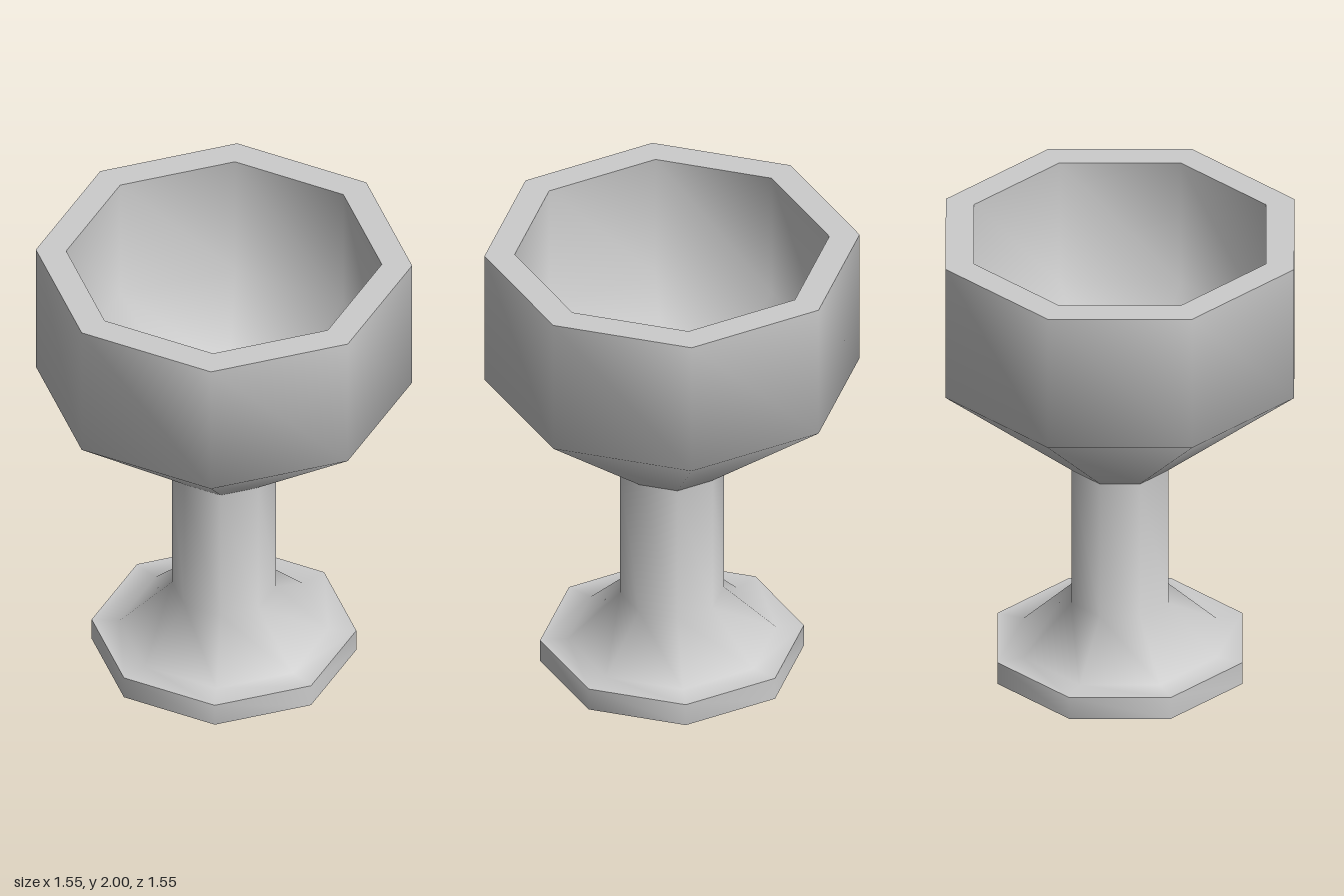
import * as THREE from 'three';
import { mergeVertices } from 'three/addons/utils/BufferGeometryUtils.js';

const SIDES = 8;

// Each profile runs from the underside, up the outside, and down the inside;
// separate profiles keep the edges between them sharp.
const PROFILES = {
  footUnderside: [[0, 0.05], [0.43, 0.05], [0.43, 0], [0.545, 0]],
  footEdge: [[0.545, 0], [0.545, 0.1]],
  footAndStem: [[0.545, 0.1], [0.43, 0.1], [0.215, 0.31], [0.215, 0.935]],
  bowlOutside: [[0.215, 0.935], [0.775, 1.395], [0.775, 2]],
  bowlRim: [[0.775, 2], [0.65, 2]],
  bowlInside: [[0.65, 2], [0.65, 1.44], [0.33, 1.18], [0, 1.18]],
};

// Octagonal turned part, corners on the x and z axes, with normals
// weighted by face area
function turned(profile) {
  const points = profile.map(([r, y]) => new THREE.Vector2(r, y));
  const lathe = new THREE.LatheGeometry(points, SIDES);
  lathe.deleteAttribute('uv');
  lathe.deleteAttribute('normal');
  const geometry = mergeVertices(lathe);
  geometry.computeVertexNormals();
  return geometry;
}

export function createModel() {
  const goblet = new THREE.Group();
  goblet.name = 'goblet';
  const material = new THREE.MeshStandardMaterial({ color: 0xcccccc });

  for (const [name, profile] of Object.entries(PROFILES)) {
    const mesh = new THREE.Mesh(turned(profile), material);
    mesh.name = name;
    goblet.add(mesh);
  }
  return goblet;
}
